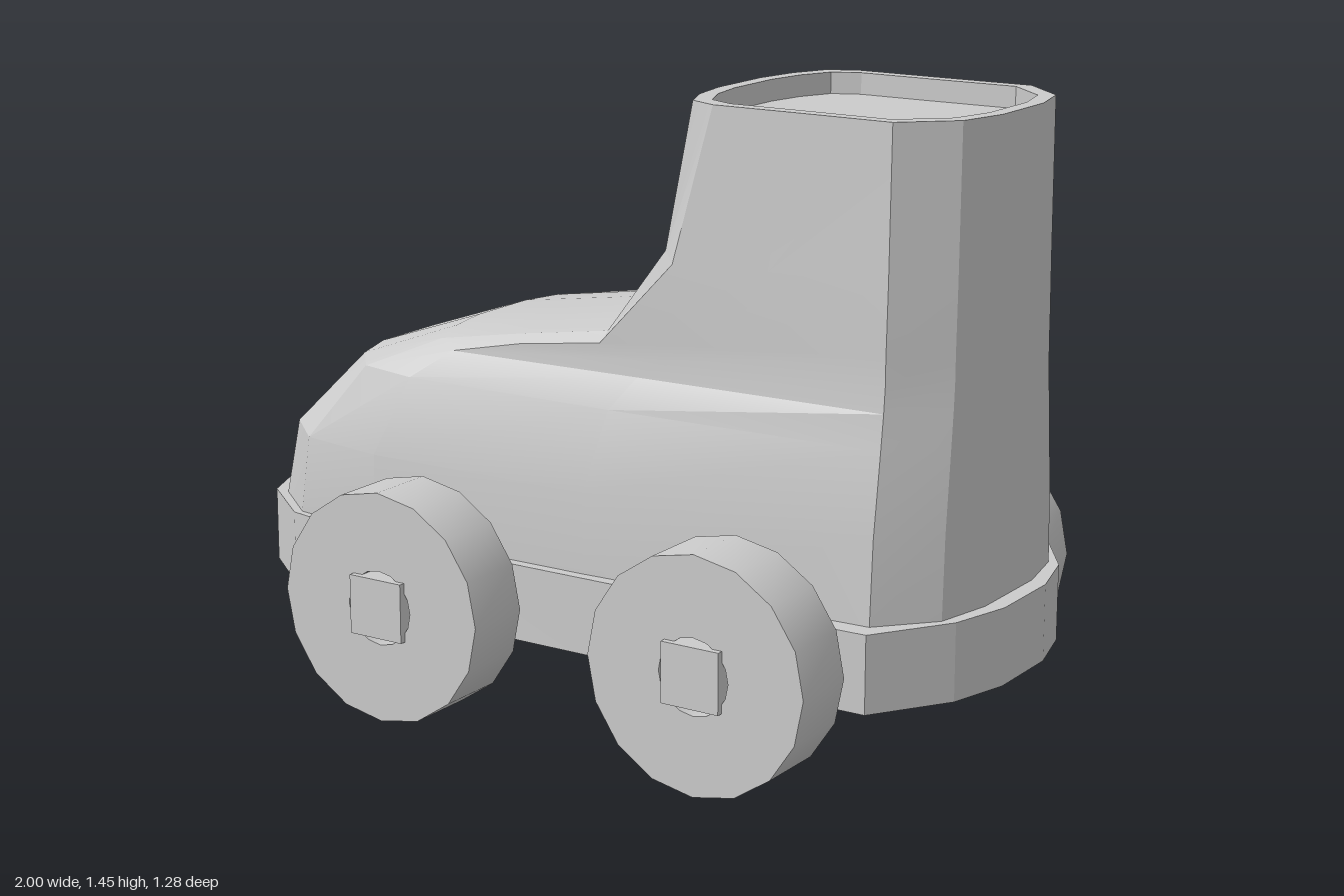
import * as THREE from 'three';
import { toCreasedNormals } from 'three/addons/utils/BufferGeometryUtils.js';

const material = new THREE.MeshStandardMaterial({ color: 0xcccccc });

function addMesh(parent, name, geometry) {
  const mesh = new THREE.Mesh(geometry, material);
  mesh.name = name;
  parent.add(mesh);
  return mesh;
}

// Mirrors half an outline (toe to heel, +z side) into a closed loop.
const mirrorLoop = (half) => [...half, ...half.slice().reverse().map(([x, y, z]) => [x, y, -z])];

// One tilted cross-section of the boot, from toe front to heel back.
function bootRing([frontX, frontY, cornerX, cornerY, width, heelY, heelWidth]) {
  const half = [[0, 0.28], [0.15, 0.62], [0.45, 0.9], [1, 1]].map(([t, s]) => [
    THREE.MathUtils.lerp(frontX, cornerX, t),
    THREE.MathUtils.lerp(frontY, cornerY, t),
    width * s,
  ]);
  half.push([cornerX + 0.45 * (0.82 - cornerX), (cornerY + heelY) / 2, width * 0.995]);
  half.push([0.82, heelY, heelWidth], [0.93, heelY, heelWidth * 0.68], [0.96, heelY, heelWidth * 0.3]);
  return mirrorLoop(half);
}

// Skins a stack of loops and closes the last one.
function loft(loops) {
  const n = loops[0].length;
  const index = [];
  for (let i = 0; i < loops.length - 1; i++) {
    for (let j = 0; j < n; j++) {
      const a = i * n + j, b = i * n + (j + 1) % n;
      index.push(a, b, b + n, a, b + n, a + n);
    }
  }
  const last = (loops.length - 1) * n;
  for (let j = 1; j < n - 1; j++) index.push(last, last + j, last + j + 1);
  const geometry = new THREE.BufferGeometry();
  geometry.setAttribute('position', new THREE.Float32BufferAttribute(loops.flat(2), 3));
  geometry.setIndex(index);
  return geometry;
}

export function createModel() {
  const skate = new THREE.Group();
  skate.name = 'rollerSkate';

  // Boot: frontX, frontY, cornerX, cornerY, width, heelY, heelWidth
  const rings = [
    [-0.97, 0.37, -0.50, 0.37, 0.41, 0.37, 0.38],
    [-0.92, 0.56, -0.50, 0.56, 0.41, 0.56, 0.37],
    [-0.71, 0.75, -0.42, 0.75, 0.37, 0.75, 0.345],
    [-0.42, 0.85, -0.32, 0.82, 0.335, 0.83, 0.335],
    [-0.15, 0.89, -0.13, 0.86, 0.33, 0.89, 0.33],
    [0.09, 0.93, 0.09, 0.89, 0.33, 0.95, 0.33],
    [0.21, 1.13, 0.28, 1.09, 0.325, 1.11, 0.325],
    [0.25, 1.45, 0.38, 1.45, 0.32, 1.45, 0.32],
  ].map(bootRing);

  // Rim and shallow recess in the top of the shaft
  const inset = (y) => rings[7].map(([x, , z]) => [0.605 + (x - 0.605) * 0.9, y, z * 0.89]);
  const boot = loft([...rings, inset(1.45), inset(1.4)]);
  addMesh(skate, 'boot', toCreasedNormals(boot, 0.3));

  // Sole
  const outline = mirrorLoop([
    [-1, 0, 0.11], [-0.94, 0, 0.25], [-0.77, 0, 0.385], [-0.52, 0, 0.435],
    [0.45, 0, 0.435], [0.84, 0, 0.43], [0.96, 0, 0.25], [1, 0, 0.1],
  ]);
  const soleShape = new THREE.Shape(outline.map(([x, , z]) => new THREE.Vector2(x, z)));
  const sole = new THREE.ExtrudeGeometry(soleShape, { depth: 0.18, bevelEnabled: false });
  sole.rotateX(-Math.PI / 2).translate(0, 0.19, 0);
  addMesh(skate, 'sole', toCreasedNormals(sole, 0.3));

  // Wheel with a bored centre
  const wheelProfile = [[0.088, -0.085], [0.273, -0.085], [0.273, 0.085], [0.088, 0.085], [0.088, -0.085]]
    .map(([r, y]) => new THREE.Vector2(r, y));
  const wheel = toCreasedNormals(new THREE.LatheGeometry(wheelProfile, 16).rotateX(Math.PI / 2), 0.5);

  // Square axles with a wheel at each end
  for (const [end, x] of [['front', -0.32], ['rear', 0.53]]) {
    const axle = addMesh(skate, end + 'Axle', new THREE.BoxGeometry(0.145, 0.14, 1.28));
    axle.position.set(x, 0.275, 0);
    for (const side of [-1, 1]) {
      const mesh = addMesh(skate, end + (side > 0 ? 'NearWheel' : 'FarWheel'), wheel);
      mesh.position.set(x, 0.273, side * 0.54);
    }
  }
  return skate;
}
